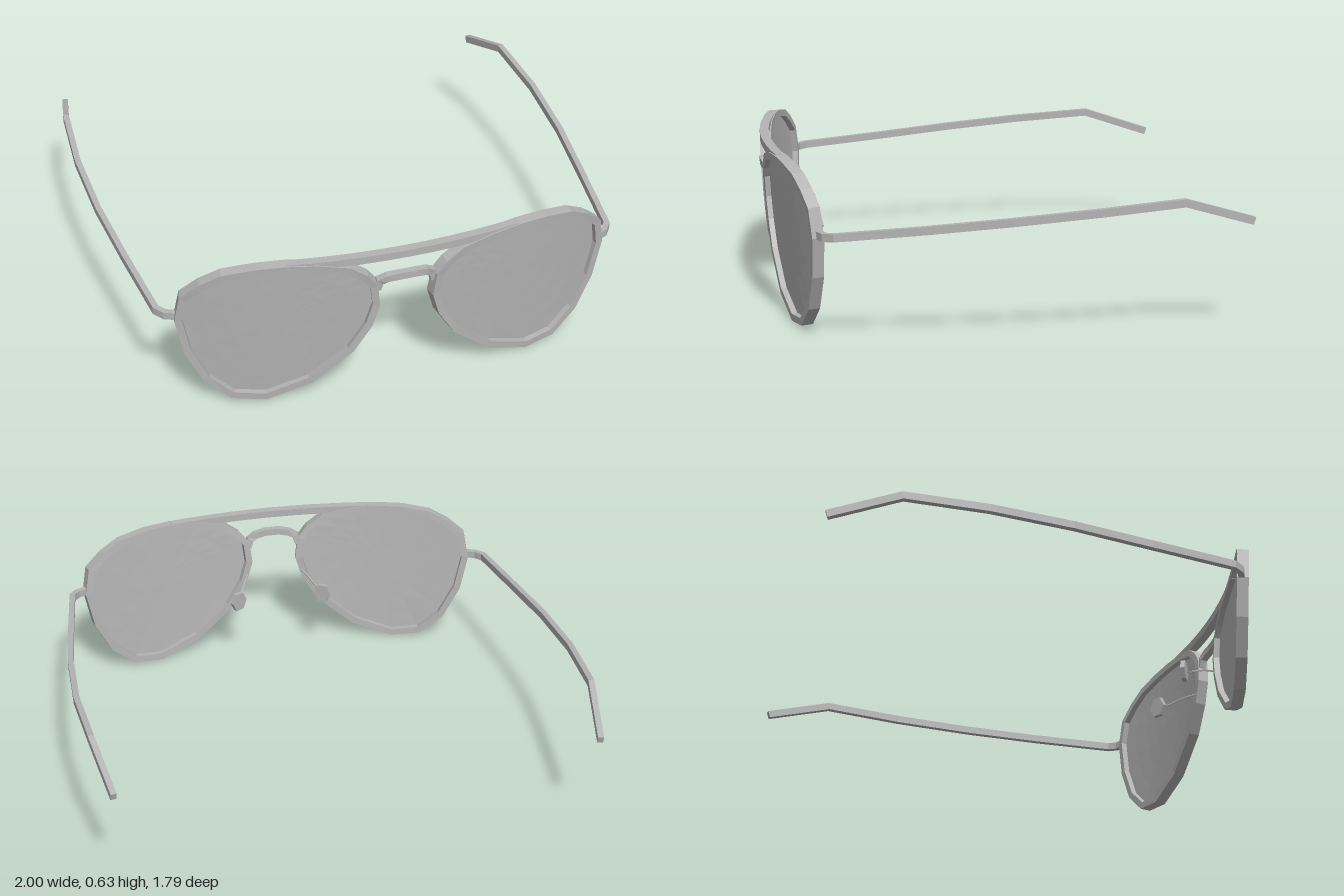
import * as THREE from 'three';

const grey = new THREE.MeshStandardMaterial({ color: 0xb4b4b4, flatShading: true, side: THREE.DoubleSide });
grey.name = 'plain grey';

const V = (x, y, z) => new THREE.Vector3(x, y, z);

// Curved, slightly tilted surface that the lenses, rims and brow bar follow
const faceZ = (x, y) => 0.868 - 0.2 * x * x - 0.06 * (0.6 - y);

function mesh(name, geometry) {
  const m = new THREE.Mesh(geometry, grey);
  m.name = name;
  return m;
}

// Triangle list to flat-shaded geometry
function fromTriangles(points) {
  const g = new THREE.BufferGeometry().setFromPoints(points);
  g.computeVertexNormals();
  return g;
}

// Rectangular bar with mitred corners, swept along points; hint is the height direction
function sweep(points, width, height, hint, closed = false) {
  const n = points.length;
  const rings = points.map((p, i) => {
    const prev = closed ? points[(i + n - 1) % n] : points[Math.max(i - 1, 0)];
    const next = closed ? points[(i + 1) % n] : points[Math.min(i + 1, n - 1)];
    const a = p.clone().sub(prev).normalize();
    const b = next.clone().sub(p).normalize();
    const t = a.clone().add(b).normalize();
    const side = hint.clone().cross(t).normalize();
    const up = t.clone().cross(side);
    const w = width / 2 / Math.max(0.75, t.dot(b.lengthSq() ? b : a));
    return [[-1, -1], [1, -1], [1, 1], [-1, 1]].map(([u, v]) =>
      p.clone().addScaledVector(side, u * w).addScaledVector(up, v * height / 2));
  });
  const tris = [];
  const quad = (a, b, c, d) => tris.push(a, b, c, a, c, d);
  for (let i = 0; i < (closed ? n : n - 1); i++) {
    const r = rings[i], s = rings[(i + 1) % n];
    for (let c = 0; c < 4; c++) quad(r[c], r[(c + 1) % 4], s[(c + 1) % 4], s[c]);
  }
  if (!closed) {
    quad(...rings[0].slice().reverse());
    quad(...rings[n - 1]);
  }
  return fromTriangles(tris);
}

// Teardrop outline of the rim, through the middle of its width
const OUTLINE = [
  [0.836, 0.40], [0.818, 0.503], [0.756, 0.556], [0.679, 0.597], [0.565, 0.617],
  [0.455, 0.622], [0.339, 0.613], [0.226, 0.588], [0.16, 0.541], [0.125, 0.496],
  [0.114, 0.406], [0.141, 0.316], [0.208, 0.208], [0.359, 0.082], [0.524, 0.02],
  [0.645, 0.034], [0.739, 0.117], [0.805, 0.25],
];

// Lens: rings of the outline shrinking to its centre, laid on the curved surface
function lensGeometry(s) {
  const cx = 0.48, cy = 0.36, steps = 4, n = OUTLINE.length;
  const at = (i, k) => {
    const [ox, oy] = OUTLINE[i % n];
    const x = cx + (ox - cx) * k / steps, y = cy + (oy - cy) * k / steps;
    return V(s * x, y, faceZ(x, y));
  };
  const tris = [];
  const add = (a, b, c) => (s > 0 ? tris.push(a, b, c) : tris.push(a, c, b));
  for (let k = 0; k < steps; k++) {
    for (let i = 0; i < n; i++) {
      add(at(i, k), at(i, k + 1), at(i + 1, k + 1));
      if (k > 0) add(at(i, k), at(i + 1, k + 1), at(i + 1, k));
    }
  }
  return fromTriangles(tris);
}

function createSide(s, name) {
  const side = new THREE.Group();
  side.name = name;

  const rim = OUTLINE.map(([x, y]) => V(s * x, y, faceZ(x, y)));
  side.add(mesh('rim', sweep(rim, 0.028, 0.045, V(s * 0.2, -0.06, 1).normalize(), true)));
  side.add(mesh('lens', lensGeometry(s)));

  // Hinge and temple arm in one bent bar, dropping behind the ear
  const arm = [
    [0.835, 0.411, 0.715], [0.88, 0.411, 0.695], [0.906, 0.414, 0.66],
    [0.945, 0.439, 0.33], [0.977, 0.466, 0.02], [0.988, 0.493, -0.3],
    [0.968, 0.517, -0.62], [0.922, 0.432, -0.89],
  ].map(([x, y, z]) => V(s * x, y, z));
  side.add(mesh('temple', sweep(arm, 0.023, 0.03, V(0, 1, 0))));

  // Nose pad on a thin bent wire
  const wire = new THREE.CatmullRomCurve3([
    V(s * 0.115, 0.35, 0.84), V(s * 0.145, 0.335, 0.775),
    V(s * 0.172, 0.31, 0.72), V(s * 0.183, 0.302, 0.685),
  ]);
  side.add(mesh('nosePadWire', new THREE.TubeGeometry(wire, 8, 0.004, 5)));
  const pad = new THREE.CylinderGeometry(0.045, 0.045, 0.018, 6);
  pad.rotateX(Math.PI / 2).rotateZ(Math.PI / 6).scale(0.85, 1, 1);
  pad.rotateY(s * 0.52).translate(s * 0.187, 0.302, 0.68);
  side.add(mesh('nosePad', pad));
  return side;
}

export function createModel() {
  const model = new THREE.Group();
  model.name = 'aviatorGlasses';
  model.add(createSide(1, 'leftSide'), createSide(-1, 'rightSide'));

  // Straight brow bar across the top
  const brow = [];
  for (let i = -5; i <= 5; i++) {
    const x = i * 0.09;
    brow.push(V(x, 0.622, faceZ(x, 0.622)));
  }
  model.add(mesh('browBar', sweep(brow, 0.036, 0.03, V(0, 1, 0))));

  // Arched nose bridge
  const bridge = [
    [-0.112, 0.47], [-0.102, 0.505], [-0.075, 0.52], [-0.03, 0.527],
    [0.03, 0.527], [0.075, 0.52], [0.102, 0.505], [0.112, 0.47],
  ].map(([x, y]) => V(x, y, 0.878 - 1.8 * x * x));
  model.add(mesh('bridge', sweep(bridge, 0.028, 0.028, V(0, 0, 1))));
  return model;
}
